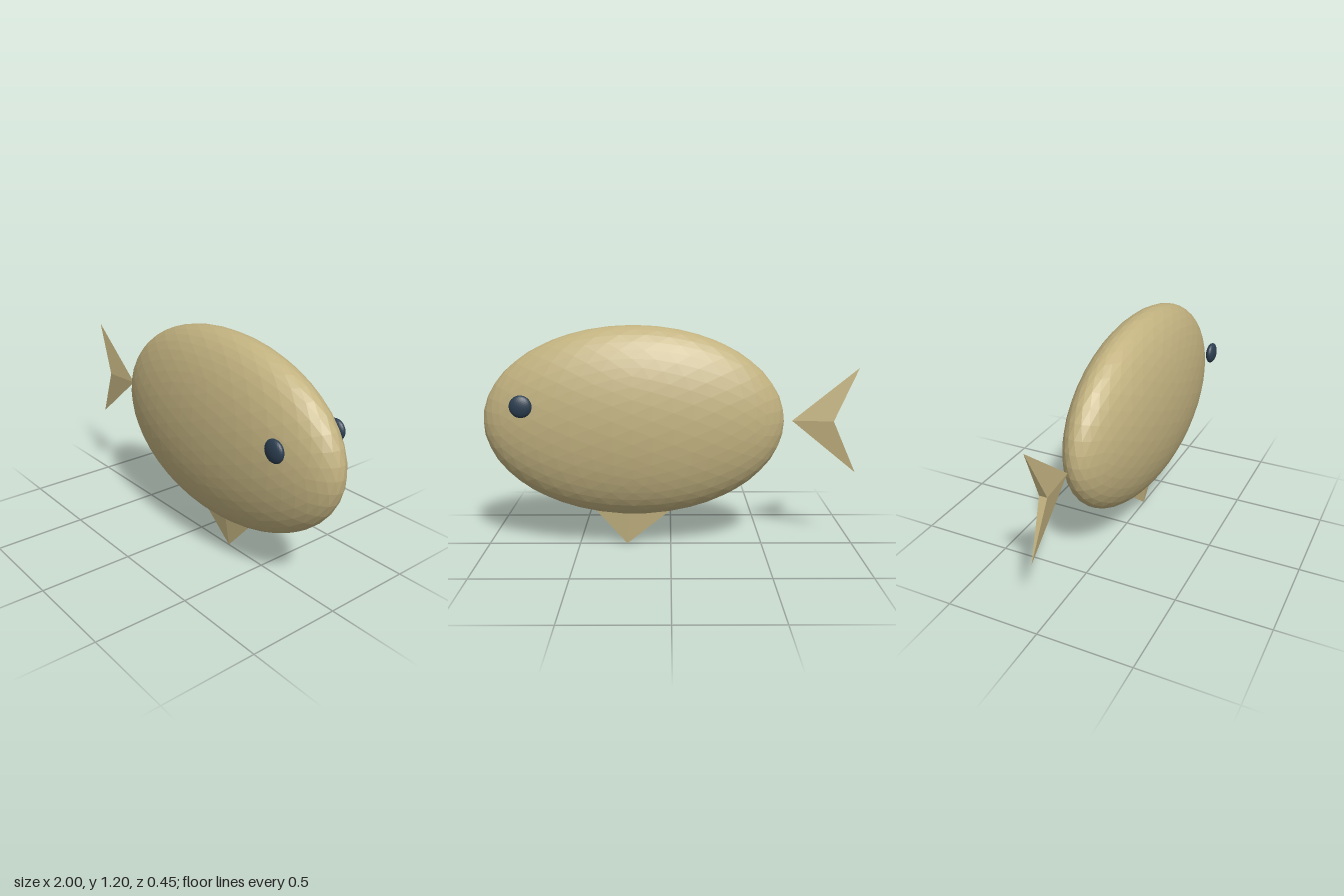
import * as THREE from 'three';

const sand = new THREE.MeshStandardMaterial({ color: 0xc2b280, flatShading: true });
sand.name = 'sand';
const slate = new THREE.MeshStandardMaterial({ color: 0x2c3e50, flatShading: true });
slate.name = 'slate blue';

// Thin fin: a flat outline (counter-clockwise from +z) raised to a ridge point on both sides
function finGeometry(outline, ridge, thickness) {
  const pos = [];
  for (const s of [1, -1]) {
    const peak = [ridge[0], ridge[1], s * thickness];
    outline.forEach((p, i) => {
      const q = outline[(i + 1) % outline.length];
      const a = [...p, 0], b = [...q, 0];
      pos.push(...(s > 0 ? [...a, ...b, ...peak] : [...b, ...a, ...peak]));
    });
  }
  const geo = new THREE.BufferGeometry();
  geo.setAttribute('position', new THREE.Float32BufferAttribute(pos, 3));
  geo.computeVertexNormals();
  return geo;
}

export function createModel() {
  const model = new THREE.Group();
  model.name = 'fish';

  const add = (name, geometry, material, position = [0, 0, 0], scale = [1, 1, 1]) => {
    const mesh = new THREE.Mesh(geometry, material);
    mesh.name = name;
    mesh.position.set(...position);
    mesh.scale.set(...scale);
    model.add(mesh);
  };

  // Flattened egg-shaped body
  add('body', new THREE.IcosahedronGeometry(1, 7), sand, [0.197, 0.693, 0], [0.803, 0.512, 0.225]);

  // Eyes, one on each side
  const eye = new THREE.IcosahedronGeometry(1, 5);
  for (const side of [1, -1]) {
    add(side > 0 ? 'frontEye' : 'backEye', eye, slate, [0.764, 0.807, side * 0.197], [0.058, 0.058, 0.027]);
  }

  // Forked tail, thickest at the notch
  add('tailFin', finGeometry([[-0.65, 0.695], [-1, 0.98], [-1, 0.41]], [-0.87, 0.695], 0.021)
    .copy(tailGeometry()), sand);

  // Belly fin, its root buried in the body
  add('bellyFin', finGeometry([[0.24, 0.004], [0.465, 0.26], [-0.08, 0.26]], [0.22, 0.26], 0.026), sand);

  return model;
}

// Tail with its two lobes meeting at a notch
function tailGeometry() {
  const tip = [-0.65, 0.695, 0], notch = [-0.87, 0.695];
  const front = [...notch, 0.021], back = [...notch, -0.021];
  const top = [-1, 0.98, 0], bottom = [-1, 0.41, 0];
  const faces = [
    tip, top, front, tip, front, bottom,
    tip, back, top, tip, bottom, back,
    top, back, front, bottom, front, back,
  ];
  const geo = new THREE.BufferGeometry();
  geo.setAttribute('position', new THREE.Float32BufferAttribute(faces.flat(), 3));
  geo.computeVertexNormals();
  return geo;
}
